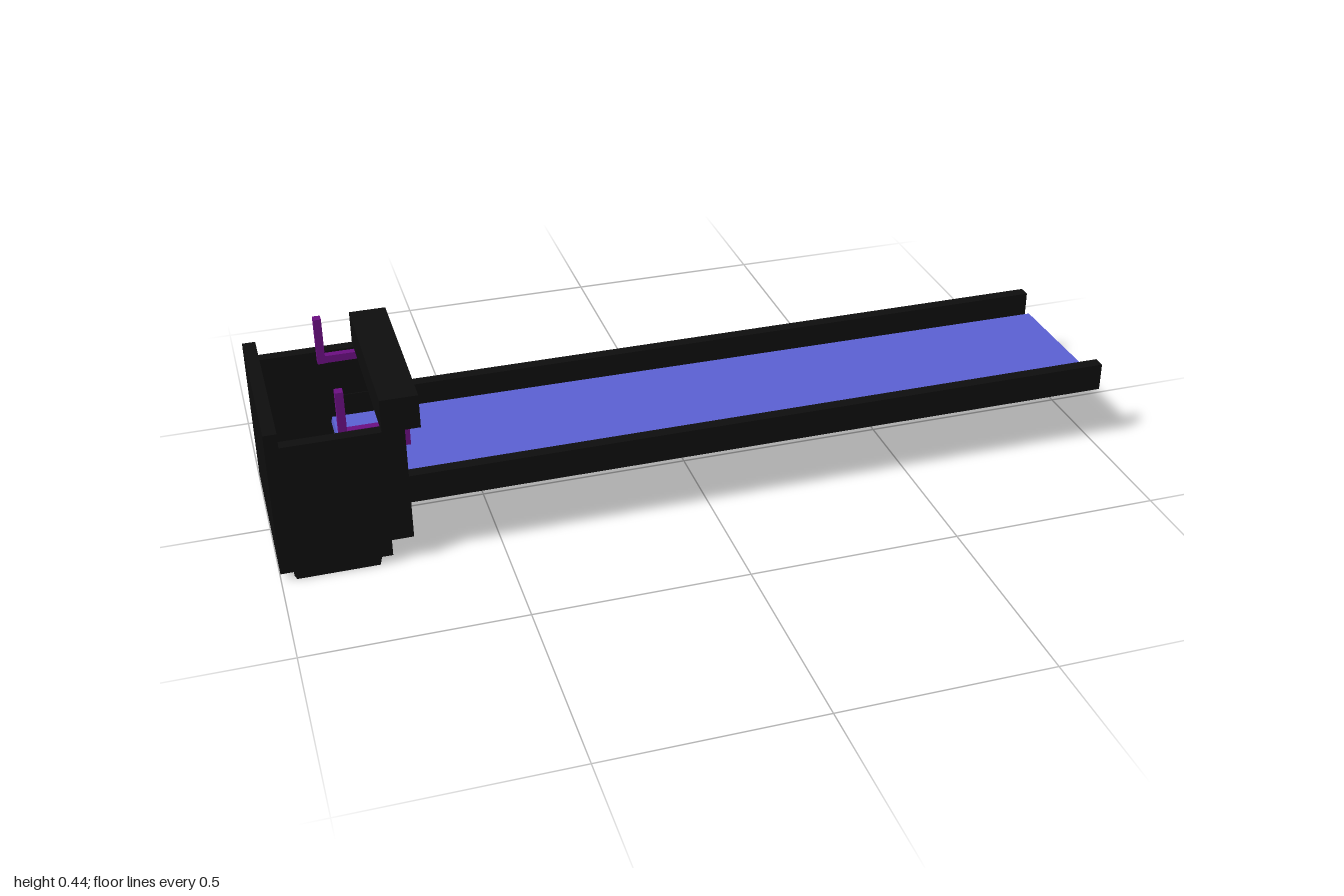
import * as THREE from 'three';

const mat = (color) => new THREE.MeshStandardMaterial({ color, side: THREE.DoubleSide });
const black = mat(0x0d0d0d), blue = mat(0x5a60d2), purple = mat(0x6a0f80);
const white = mat(0xcccccc), red = mat(0xd03020);

export function createModel() {
  const model = new THREE.Group();
  const add = (name, geo, material) => {
    const mesh = new THREE.Mesh(geo, material);
    mesh.name = name;
    model.add(mesh);
    return mesh;
  };
  // Box given by its limits on each axis
  const box = (name, material, x0, x1, y0, y1, z0, z1) => {
    const g = new THREE.BoxGeometry(x1 - x0, y1 - y0, z1 - z0);
    g.translate((x0 + x1) / 2, (y0 + y1) / 2, (z0 + z1) / 2);
    return add(name, g, material);
  };
  // Side profile in x and y, extruded between two z values
  const extrude = (name, material, points, z0, z1) => {
    const shape = new THREE.Shape(points.map(([x, y]) => new THREE.Vector2(x, y)));
    const g = new THREE.ExtrudeGeometry(shape, { depth: z1 - z0, bevelEnabled: false });
    g.translate(0, 0, z0);
    return add(name, g, material);
  };

  // Lane: trapezoid slab, its top rising and narrowing towards the pin deck
  const laneGeo = new THREE.BoxGeometry(1.82, 1, 2);
  const p = laneGeo.attributes.position;
  for (let i = 0; i < p.count; i++) {
    const x = p.getX(i) + 0.09, top = p.getY(i) > 0, far = x < 0;
    const half = top ? (far ? 0.145 : 0.166) : 0.187;
    p.setXYZ(i, x, top ? (far ? 0.188 : 0.17) : 0.151, Math.sign(p.getZ(i)) * half);
  }
  const laneFlat = laneGeo.toNonIndexed();
  laneFlat.computeVertexNormals();
  add('lane', laneFlat, blue);

  // Housing: stepped base with an open pit, tall back wall
  extrude('pitBase', black, [
    [-0.97, 0.01], [-0.965, 0], [-0.78, 0], [-0.775, 0.02], [-0.75, 0.02], [-0.75, 0.06],
    [-0.7, 0.06], [-0.7, 0.15], [-0.82, 0.15], [-0.82, 0.06], [-0.97, 0.06],
  ], -0.217, 0.217);
  box('backWall', black, -1, -0.97, 0.02, 0.375, -0.217, 0.217);
  box('topBar', black, -0.75, -0.665, 0.338, 0.418, -0.217, 0.217);

  // Mirrored parts on both long sides
  for (const s of [1, -1]) {
    const span = (a, b) => (s > 0 ? [a, b] : [-b, -a]);
    box('sideWall', black, -0.97, -0.7, 0.06, 0.34, ...span(0.19, 0.217));
    box('laneRail', black, -0.81, 1, 0.15, 0.218, ...span(0.187, 0.216));
    box('sweepPost', purple, -0.838, -0.82, 0.32, 0.435, ...span(0.166, 0.187));
    box('sweepArm', purple, -0.82, -0.69, 0.32, 0.338, ...span(0.168, 0.185));
  }
  box('sweepPanel', purple, -0.7, -0.685, 0.28, 0.334, -0.185, 0.185);

  // Pin with a coloured neck band
  const pin = new THREE.Group();
  pin.name = 'pin';
  const lathe = (name, pts, material) => {
    const g = new THREE.LatheGeometry(pts.map(([r, y]) => new THREE.Vector2(r, y)), 16);
    const mesh = new THREE.Mesh(g, material);
    mesh.name = name;
    pin.add(mesh);
  };
  lathe('pinBody', [[0, 0], [0.011, 0], [0.012, 0.015], [0.012, 0.036], [0.01, 0.043]], white);
  lathe('pinBand', [[0.01, 0.043], [0.0075, 0.051]], red);
  lathe('pinHead', [[0.0075, 0.051], [0.0065, 0.056], [0.007, 0.068], [0.005, 0.071], [0, 0.072]], white);
  pin.position.set(-0.697, 0.187, 0.004);
  model.add(pin);

  return model;
}
